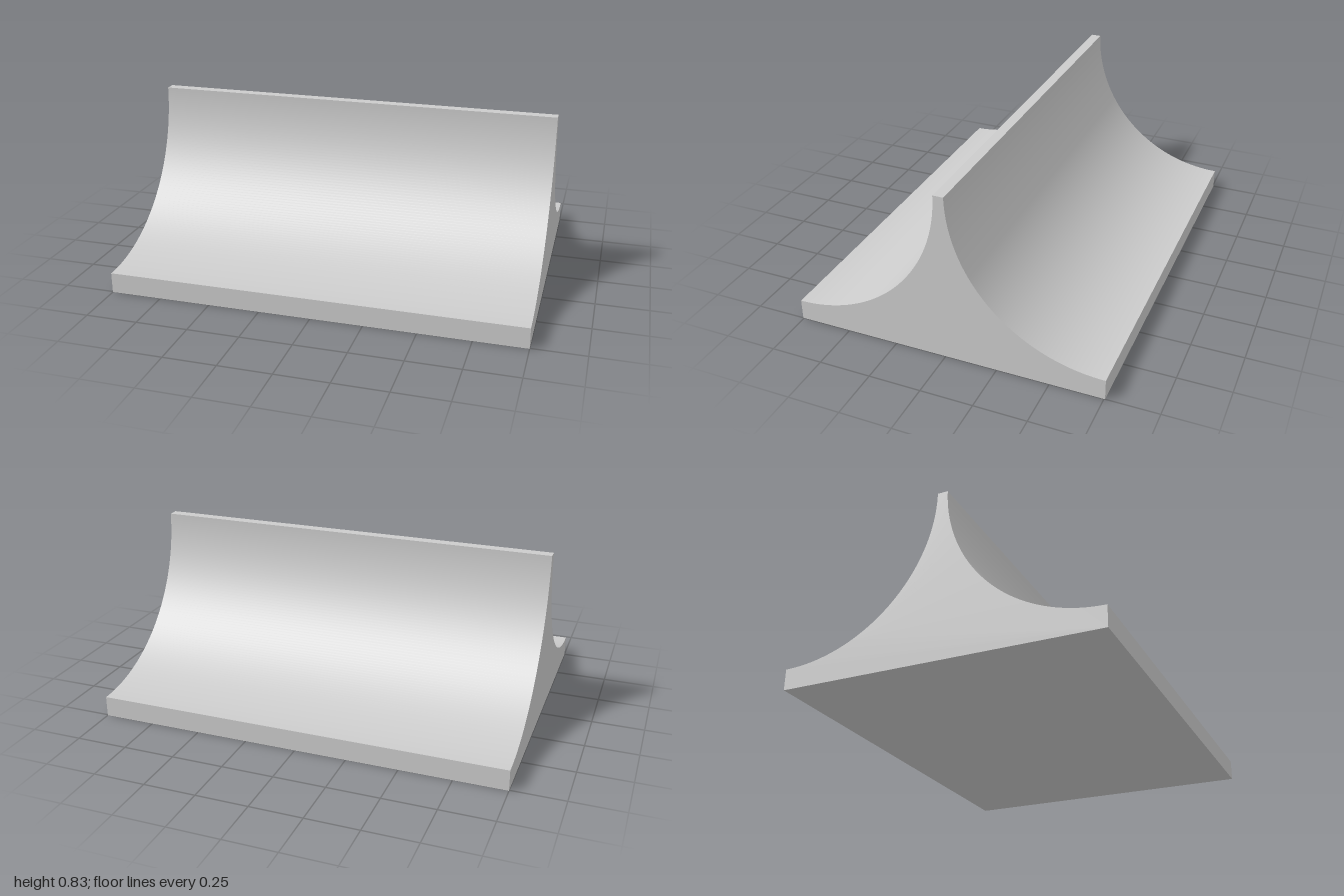
import * as THREE from 'three';
import { toCreasedNormals } from 'three/addons/utils/BufferGeometryUtils.js';

const LENGTH = 2;
const HALF_DEPTH = 0.755;
const HEIGHT = 0.83;
const RADIUS = 0.73; // concave flanks, centred level with the ridge

export function createModel() {
  const group = new THREE.Group();
  group.name = 'ridgeBlock';

  // Cross-section: flat base, low edges, two quarter-circle coves up to a narrow ridge
  const profile = new THREE.Shape();
  profile.moveTo(-HALF_DEPTH, 0);
  profile.lineTo(HALF_DEPTH, 0);
  profile.lineTo(HALF_DEPTH, HEIGHT - RADIUS);
  profile.absarc(HALF_DEPTH, HEIGHT, RADIUS, -Math.PI / 2, -Math.PI, true);
  profile.lineTo(RADIUS - HALF_DEPTH, HEIGHT);
  profile.absarc(-HALF_DEPTH, HEIGHT, RADIUS, 0, -Math.PI / 2, true);
  profile.closePath();

  // Run the section along x, keeping the coves smooth and the edges sharp
  const extruded = new THREE.ExtrudeGeometry(profile, {
    depth: LENGTH, bevelEnabled: false, curveSegments: 40,
  });
  extruded.translate(0, 0, -LENGTH / 2);
  extruded.rotateY(Math.PI / 2);

  const body = new THREE.Mesh(
    toCreasedNormals(extruded, 0.5),
    new THREE.MeshStandardMaterial({ color: 0xcccccc }),
  );
  body.name = 'covedRidge';
  group.add(body);
  return group;
}
